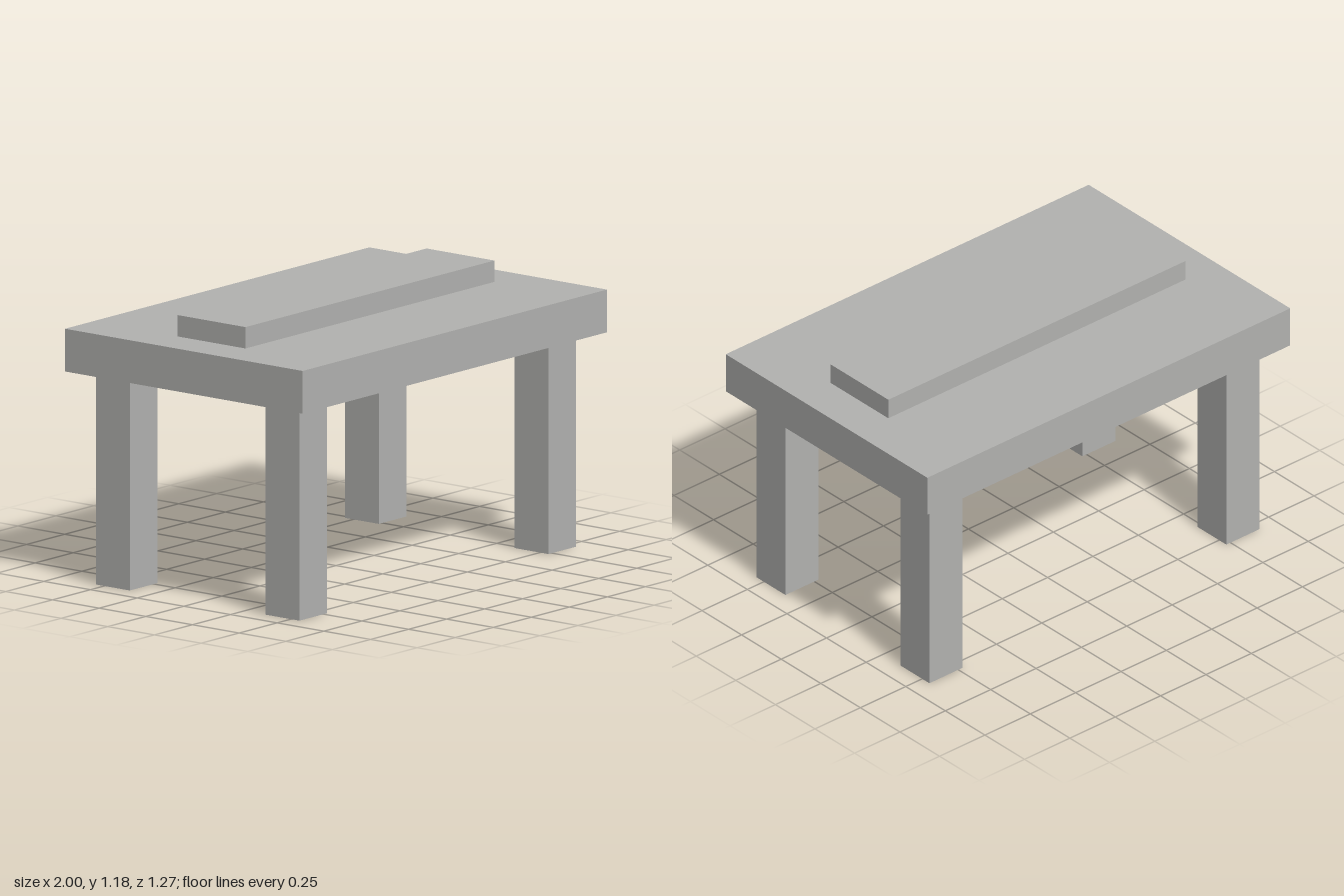
import * as THREE from 'three';

const U = 1 / 11; // base module all dimensions share

export function createModel() {
  const group = new THREE.Group();
  const grey = new THREE.MeshStandardMaterial({ color: 0xb2b2b0 });
  grey.name = 'warm grey';

  // Box sized in modules, placed by the centre of its underside
  function addBox(name, [w, h, d], [x, y, z]) {
    const mesh = new THREE.Mesh(new THREE.BoxGeometry(w * U, h * U, d * U), grey);
    mesh.name = name;
    mesh.position.set(x * U, (y + h / 2) * U, z * U);
    group.add(mesh);
  }

  // Four square legs
  for (const [side, x] of [['Left', 9], ['Right', -9]]) {
    for (const [end, z] of [['front', 5], ['back', -5]]) {
      addBox(`${end}${side}Leg`, [2, 10, 2], [x, 0, z]);
    }
  }

  // Thick top with a raised central slab
  addBox('tableTop', [22, 2, 14], [0, 10, 0]);
  addBox('raisedSlab', [18, 1, 4], [0, 12, 0]);

  return group;
}
